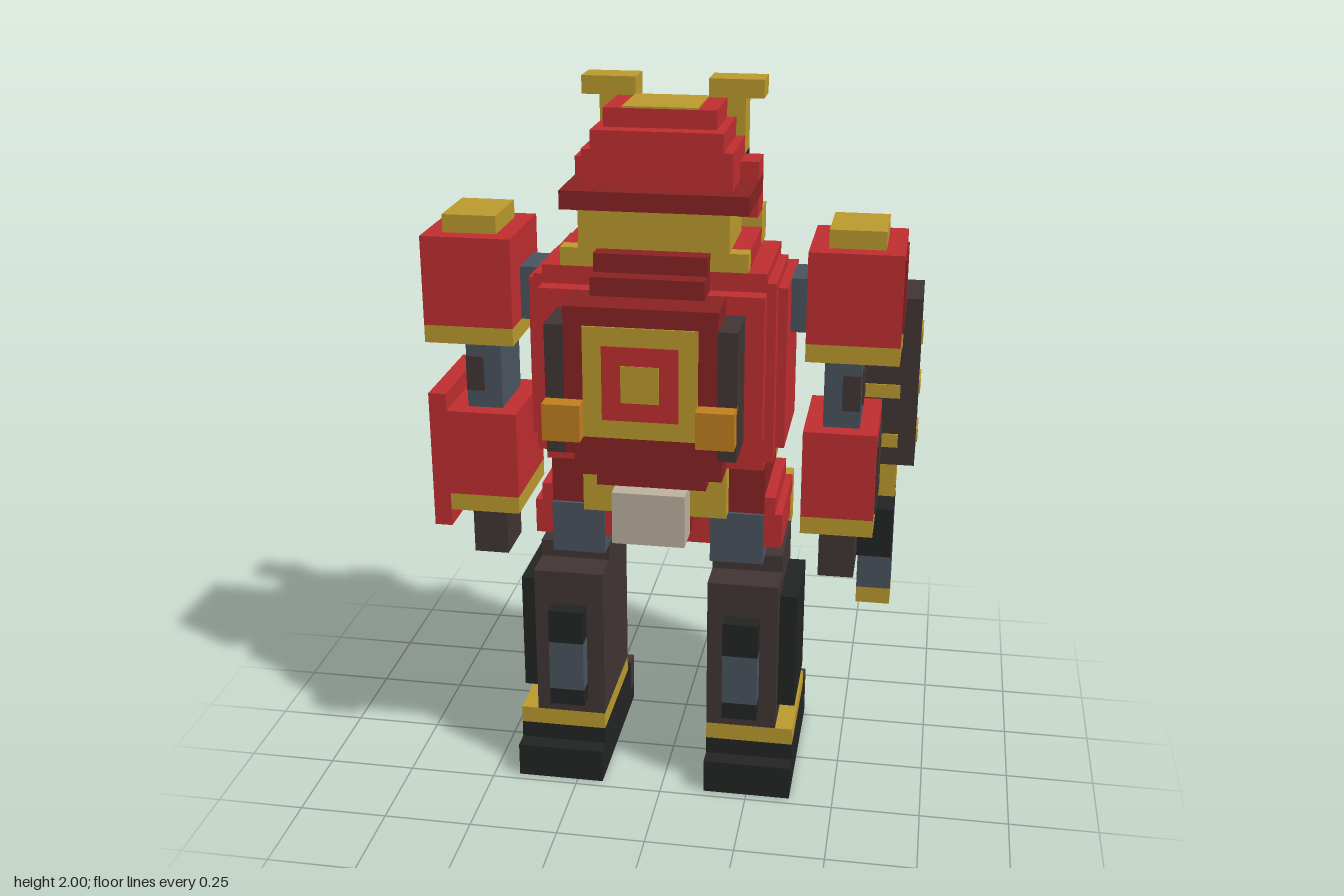
import * as THREE from 'three';

const U = 0.05; // one block
const OFFSET = -0.025; // block grid offset in x and z

const mat = (name, color) => {
  const m = new THREE.MeshStandardMaterial({ color });
  m.name = name;
  return m;
};

export function createModel() {
  const root = new THREE.Group();
  root.name = 'blockRobot';
  const red = mat('red', 0xc22e30), dark = mat('darkRed', 0x8a2324), gold = mat('gold', 0xbd9c2d);
  const brown = mat('brown', 0x423535), black = mat('black', 0x232524), steel = mat('steel', 0x4b5560);
  const orange = mat('orange', 0xc2811f), bone = mat('bone', 0xbfb3a0), silver = mat('silver', 0xb6b7ba);

  // Block spanning x0..x1, y0..y1, z0..z1 in grid units
  const block = (name, m, x0, x1, y0, y1, z0, z1) => {
    const mesh = new THREE.Mesh(new THREE.BoxGeometry((x1 - x0) * U, (y1 - y0) * U, (z1 - z0) * U), m);
    mesh.position.set((x0 + x1) / 2 * U + OFFSET, (y0 + y1) / 2 * U, (z0 + z1) / 2 * U + OFFSET);
    mesh.name = name;
    root.add(mesh);
  };
  // The same block on both sides
  const pair = (name, m, x0, x1, ...rest) => {
    block(name + 'Left', m, x0, x1, ...rest);
    block(name + 'Right', m, -x1, -x0, ...rest);
  };
  const T = 0.1; // painted plate thickness

  // Feet
  pair('sole', black, 3, 8, 0, 2, -4, 5);
  pair('footTop', black, 3, 8, 2, 3, -4, 4);
  pair('ankleBand', gold, 3, 8, 3, 4, -3, 4);
  pair('toeSole', black, 3, 8, 0, 1, -5, -4);
  pair('toeBase', brown, 3, 8, 1, 3, -5, -4);
  pair('toeStripe', dark, 4, 7, 3, 3 + T, -5, -3);
  pair('toeCap', brown, 4, 7, 0, 2, -6, -5);
  pair('toeInset', dark, 4, 7, 2, 3, -5 - T, -5);

  // Legs
  pair('shin', brown, 3, 7, 4, 13, -3, 4);
  pair('shinStripe', dark, 4, 6, 5, 12, -3 - T, -3);
  pair('sidePlate', black, 7, 8, 5, 12, -2, 3);
  pair('calfLower', black, 4, 6, 5, 6, 4, 5);
  pair('calfPiston', steel, 4, 6, 6, 9, 4, 5);
  pair('calfUpper', black, 4, 6, 9, 11, 4, 5);
  pair('thigh', brown, 3, 7, 13, 14, -3, 2);
  pair('thighCore', brown, 3.1, 6, 14, 16, -2, 0);
  pair('hip', steel, 3, 6, 14, 17, 0, 3.2);
  pair('kneeTop', gold, 3, 7, 15, 16, -4, -2);
  pair('kneeEdge', gold, 3, 7, 14, 15, -4, -3);
  pair('kneeInset', orange, 4, 6, 12, 14, -4, -3);
  pair('kneeBadge', orange, 4, 6, 14, 15, -4 - T, -4);

  // Pelvis and waist
  block('pelvis', red, -7, 7, 16, 17, -3, 3);
  pair('hipSkirt', red, 6, 7, 15, 16, -2, 3);
  block('crotch', red, -3, 3, 15, 16, -3, 3);
  block('waist', dark, -6, 6, 17, 20, -3, 3);
  pair('waistSide', red, 6, 6.6, 17, 18, -3, 3);
  pair('backBelt', gold, 2, 4, 17, 20, 3, 4);
  block('tailPlate', bone, -2, 2, 16, 19, 4, 6);
  block('tailMount', dark, -2, 2, 16, 20, 3, 4);
  pair('frontBelt', gold, 2, 6, 18, 19, -4, -3);
  block('frontBeltLower', gold, -7, 7, 16, 17, -4, -3);
  block('buckle', orange, -1, 1, 17, 19, -5, -3);
  pair('buckleFrame', gold, 1, 2, 17, 20, -5, -3);
  block('loinPlate', red, -2, 2, 14, 16, -4, -3);
  block('loinTrim', gold, -3, 3, 15.9, 16.9, -5, -4);
  block('abdomen', red, -4, 4, 19, 21, -4, -3);

  // Stepped torso
  block('torsoWide', red, -7, 7, 21, 30, -3, 3);
  block('torsoDeep', red, -6, 6, 22, 30, -4, 5);
  block('torsoMiddle', red, -6.5, 6.5, 20.5, 30.5, -2, 4);
  block('torsoTall', red, -6, 6, 20, 31, -3, 4);
  block('torsoTop', red, -5, 5, 31, 32, -3, 3);
  block('chestTop', red, -4, 4, 29, 31, -5, -4);
  pair('collar', gold, 3, 5, 31, 33, -4, -2);
  block('collarFront', gold, -3, 3, 31, 32, -5, -3);
  pair('collarBack', gold, 3, 5, 31, 32, 3, 4);
  block('neckBack', dark, -3, 3, 30, 32, 3, 5);

  // Backpack
  block('pack', dark, -4, 4, 22, 30, 5, 8);
  pair('packSide', brown, 4, 5, 22, 29, 5, 8);
  block('packTop', dark, -3, 3, 30, 31, 5, 6);
  block('packBottom', dark, -4, 4, 20, 22, 4, 6);
  block('packKeel', dark, -3, 3, 19, 20, 4, 5);
  block('packPlate', gold, -3, 3, 23, 29, 8, 8 + T);
  block('packRing', red, -2, 2, 24, 28, 8, 8.16);
  block('packCentre', gold, -1, 1, 25, 27, 8, 8.2);
  pair('packThruster', orange, 3, 5, 23, 25, 7, 9);

  // Beast face on the chest
  block('beastBase', black, -6, 6, 22, 28, -5, -4);
  block('beastChin', black, -4, 4, 21, 22, -5, -4);
  block('beastCrown', black, -4, 4, 28, 29, -5.2, -4);
  block('beastBrow', bone, -2, 2, 27, 29, -6, -5);
  pair('beastEar', bone, 4, 6, 28, 29, -5, -4);
  pair('beastTemple', black, 2, 4, 26, 28, -6, -5);
  pair('beastEye', silver, 2, 3, 25, 26, -6, -5);
  pair('beastCheek', bone, 5, 6.2, 23, 26, -5.3, -4.3);
  pair('beastFang', bone, 3, 4, 22, 24, -6, -5);
  block('beastJaw', black, -3, 3, 22, 24, -6, -5);
  block('beastSnout', silver, -2, 2, 24, 27, -6, -5);
  block('beastMuzzle', silver, -2, 2, 24, 26, -7, -6);
  block('beastBridge', bone, -1, 1, 26, 27, -7, -6);
  block('beastNose', bone, -1, 1, 25, 26, -8, -7);

  // Head and helmet
  block('neckGuard', gold, -4, 4, 32, 34, -1, 4);
  block('helmetBrim', dark, -5, 5, 34, 35, -2, 4);
  block('helmetBase', red, -4, 4, 35, 37, -2, 3);
  block('helmetMiddle', red, -3.5, 3.5, 37, 38, -2, 3);
  block('helmetTop', red, -3, 3, 38, 39, -2, 2);
  block('helmetPlate', gold, -2, 2, 39, 39 + T, -2, 2);
  pair('helmetCheek', red, 4, 5, 33, 36, -2.2, 0);
  block('jaw', black, -3, 3, 32, 34, -3, -1);
  block('mouthGuard', bone, -2, 2, 33, 34, -4, -3);
  block('face', orange, -3, 3, 34, 35, -4, -2);
  block('visor', black, -4, 4, 35, 36, -4, -2);
  block('forehead', gold, -4, 4, 36, 38, -4, -2);
  pair('hornBase', gold, 2, 4, 38, 39, -4, -2);
  pair('hornTip', gold, 2, 5, 39, 40, -4, -2);

  // Arms
  pair('shoulderJoint', steel, 7, 8, 27, 30, -2, 1);
  pair('shoulder', red, 8, 13, 27, 32, -3, 3);
  pair('shoulderTrim', gold, 8, 13, 26, 27, -3, 3);
  pair('shoulderCap', gold, 9, 12, 32, 33, -2, 2);
  pair('shoulderPanel', dark, 13, 13 + T, 27.5, 31.5, -2, 2);
  pair('shoulderBadge', gold, 9, 12, 28, 31, -3 - T, -3);
  pair('elbow', steel, 9, 11, 22, 26, -2, 2);
  pair('elbowBolt', brown, 11, 11 + T, 23, 25, -1, 1);
  pair('elbowPatch', brown, 10, 11, 23, 25, 2, 2 + T);
  pair('forearm', red, 8, 12, 17, 22, -3, 3);
  pair('cuff', gold, 8, 12, 16, 17, -3, 3);
  pair('forearmBadge', gold, 9, 11, 18, 21, -3 - T, -3);
  block('forearmPanel', brown, 12, 12 + T, 17, 21, -2, 2);
  pair('hand', brown, 9, 11, 13, 16, -1, 2);

  // Shield on the right forearm
  block('shield', red, -13, -12, 15, 23, -4, 3);
  block('shieldLip', red, -12, -11, 15, 23, -4, -3);
  block('shieldPanel', gold, -13 - T, -13, 16, 22, -3, 2);
  for (const y of [17, 18.7, 20.4]) block('shieldMark', dark, -13.16, -13, y, y + 0.9, -1.4, 0.4);

  // Launcher on the left forearm
  block('launcher', brown, 10, 14, 18, 28, -7, -3);
  block('launcherBase', gold, 11, 13, 16, 18, -6, -3);
  block('launcherCap', gold, 11, 13, 28, 30, -6, -4);
  for (const y of [19.1, 22.1, 25.1]) {
    for (const [s, x] of [['Outer', 14], ['Inner', 10 - T]]) {
      block('launcherPort' + s, gold, x, x + T, y, y + 0.8, -6, -4);
    }
    block('launcherPortFront', gold, 11, 13, y, y + 0.8, -7 - T, -7);
    block('launcherPortBack', gold, 11, 13, y, y + 0.8, -3, -3 + T);
  }
  block('launcherMount', brown, 9, 10, 18, 22, -5, -3);
  block('gripCover', black, 11, 13, 13, 16, -3, -1);
  block('gripTop', black, 11, 13, 15, 16, -5, -3);
  block('barrel', steel, 11, 13, 10, 15, -5, -3);
  block('barrelTip', gold, 11, 13, 9, 10, -5, -3);
  return root;
}
